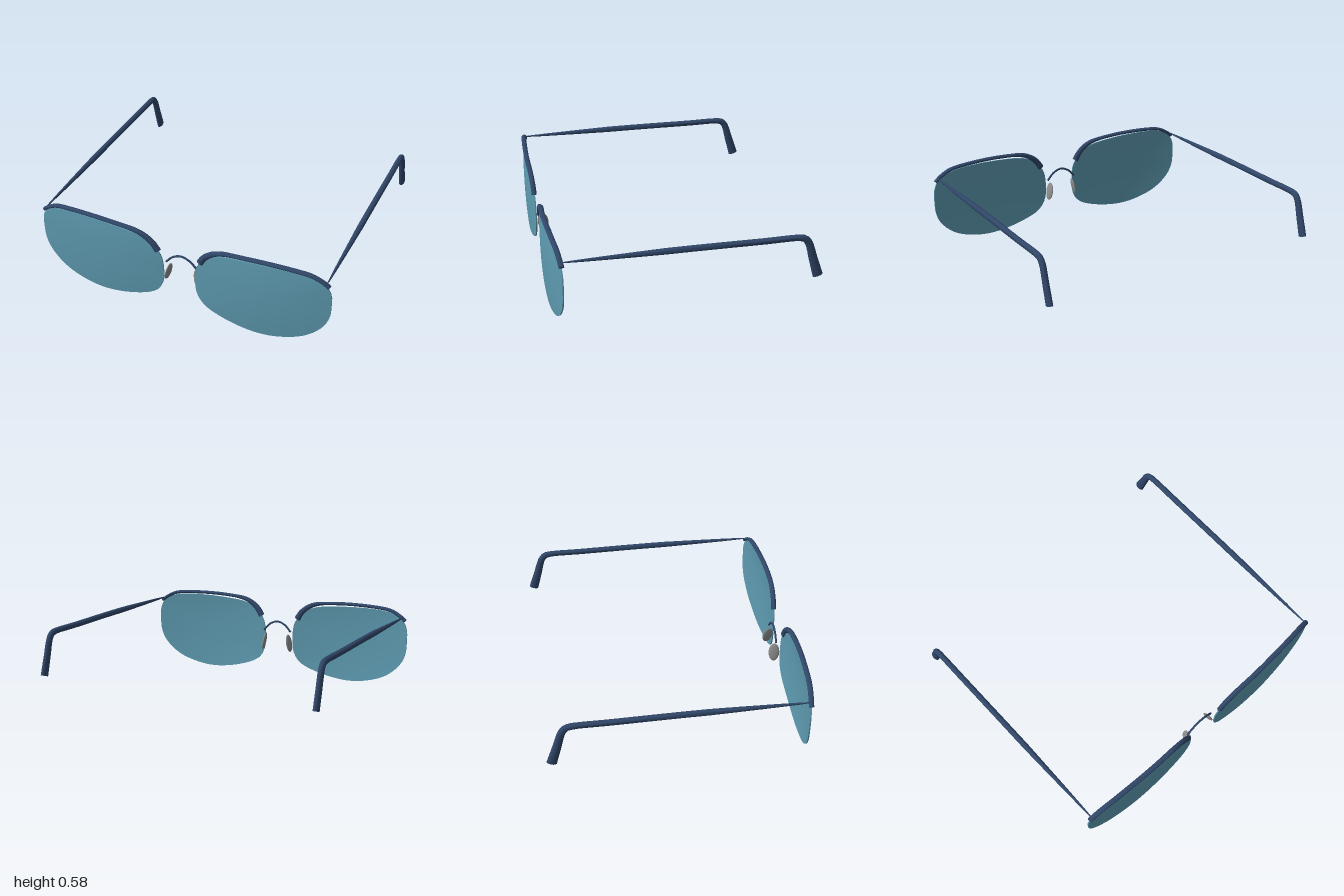
import * as THREE from 'three';
import { toCreasedNormals } from 'three/addons/utils/BufferGeometryUtils.js';

const V = (x, y, z) => new THREE.Vector3(x, y, z);

// depth of the gently wrapped front, by distance from the middle
const frontZ = (x) => 0.831 - 0.125 * (Math.abs(x) - 0.42) ** 2;

function build(pos, index) {
  const g = new THREE.BufferGeometry();
  g.setAttribute('position', new THREE.Float32BufferAttribute(pos, 3));
  g.setIndex(index);
  return toCreasedNormals(g, 0.8);
}

// closed elliptical tube; size(u) gives radii [along axis, across axis]
function sweep(points, axis, size, steps, sides = 16) {
  const curve = new THREE.CatmullRomCurve3(points, false, 'centripetal');
  const pos = [], index = [];
  for (let i = -1; i <= steps + 1; i++) {
    const u = Math.min(1, Math.max(0, i / steps));
    const cap = i < 0 || i > steps ? 0 : 1;
    const p = curve.getPointAt(u);
    const n = curve.getTangentAt(u).cross(axis).normalize();
    const [ra, rn] = size(u);
    for (let j = 0; j < sides; j++) {
      const t = (j / sides) * Math.PI * 2;
      const q = p.clone().addScaledVector(axis, Math.cos(t) * ra * cap)
        .addScaledVector(n, Math.sin(t) * rn * cap);
      pos.push(q.x, q.y, q.z);
      const row = (i + 1) * sides, a = row + j, b = row + (j + 1) % sides;
      if (i <= steps) index.push(a, b, a + sides, b, b + sides, a + sides);
    }
  }
  return build(pos, index);
}

// thin domed lens made of rings shrinking towards its centre, front then back
function lensGeometry(s) {
  const outline = [[1, 0.34], [0.998, 0.42], [0.972, 0.48], [0.9, 0.527], [0.8, 0.546],
    [0.474, 0.543], [0.26, 0.514], [0.17, 0.455], [0.126, 0.395], [0.11, 0.284],
    [0.12, 0.177], [0.17, 0.1], [0.313, 0.037], [0.53, 0], [0.69, 0.016],
    [0.85, 0.075], [0.956, 0.171], [0.994, 0.257]].map(([x, y]) => V(s * x, y, 0));
  if (s < 0) outline.reverse();
  const N = 72;
  const edge = new THREE.CatmullRomCurve3(outline, true).getSpacedPoints(N).slice(0, N);
  const centre = V(s * 0.54, 0.3, 0);
  const front = [0, 0.2, 0.4, 0.6, 0.8, 0.95, 1].map((r) => [r, 0.004]);
  const rings = [...front, ...front.map(([r, h]) => [r, -h]).reverse()];
  const pos = [], index = [];
  rings.forEach(([r, h], k) => {
    edge.forEach((e, j) => {
      const p = centre.clone().lerp(e, r);
      pos.push(p.x, Math.max(0, p.y), frontZ(p.x) + 0.012 * (1 - r * r) + h);
      const a = k * N + j, b = k * N + (j + 1) % N;
      if (k < rings.length - 1) index.push(a, a + N, b + N, a, b + N, b);
    });
  });
  return build(pos, index);
}

export function createModel() {
  const model = new THREE.Group();
  const material = (name, color) => {
    const m = new THREE.MeshStandardMaterial({ color });
    m.name = name;
    return m;
  };
  const lensBlue = material('lensBlue', 0x5d9ab0);
  const frameNavy = material('frameNavy', 0x304668);
  const padGrey = material('padGrey', 0x8e8e8e);
  const add = (name, geometry, mat) => {
    const mesh = new THREE.Mesh(geometry, mat);
    mesh.name = name;
    model.add(mesh);
    return mesh;
  };
  const X = V(1, 0, 0), Z = V(0, 0, 1);

  for (const [s, side] of [[1, 'left'], [-1, 'right']]) {
    add(side + 'Lens', lensGeometry(s), lensBlue);

    // brow rim along the upper edge of the lens
    const brow = [[0.982, 0.487], [0.95, 0.513], [0.875, 0.55], [0.78, 0.563], [0.474, 0.565],
      [0.27, 0.54], [0.185, 0.485], [0.146, 0.427]].map(([x, y]) => V(s * x, y, frontZ(x)));
    add(side + 'BrowRim', sweep(brow, Z,
      (u) => [0.017, 0.012 + 0.012 * Math.max(0, u - 0.7) / 0.3], 48), frameNavy);

    // temple arm: pointed at the hinge, bent down and widened at the ear
    const arm = [[0.51, 0.785], [0.511, 0.5], [0.512, 0], [0.508, -0.45], [0.507, -0.67],
      [0.498, -0.712], [0.47, -0.737], [0.35, -0.775], [0.23, -0.812]]
      .map(([y, z]) => V(s * 0.965, y, z));
    add(side + 'Temple', sweep(arm, X, (u) => {
      const grow = Math.min(1, u / 0.35);
      const k = 0.003 + 0.017 * Math.sqrt(grow) * grow ** 0.2;
      return [k * 0.95, k + 0.013 * Math.max(0, u - 0.8) / 0.2];
    }, 90), frameNavy);

    // nose pad: flattened oval leaning outwards at the bottom
    const pad = add(side + 'NosePad', new THREE.SphereGeometry(1, 24, 16), padGrey);
    pad.scale.set(0.011, 0.065, 0.037);
    pad.position.set(s * 0.1, 0.245, 0.777);
    pad.rotation.set(0, s * 0.15, s * 0.2);
  }

  // arched bridge
  const bridge = [[-0.108, 0.328], [-0.06, 0.378], [0, 0.4], [0.06, 0.378], [0.108, 0.328]]
    .map(([x, y]) => V(x, y, 0.786));
  add('bridge', sweep(bridge, Z, () => [0.007, 0.007], 32, 12), frameNavy);

  return model;
}
